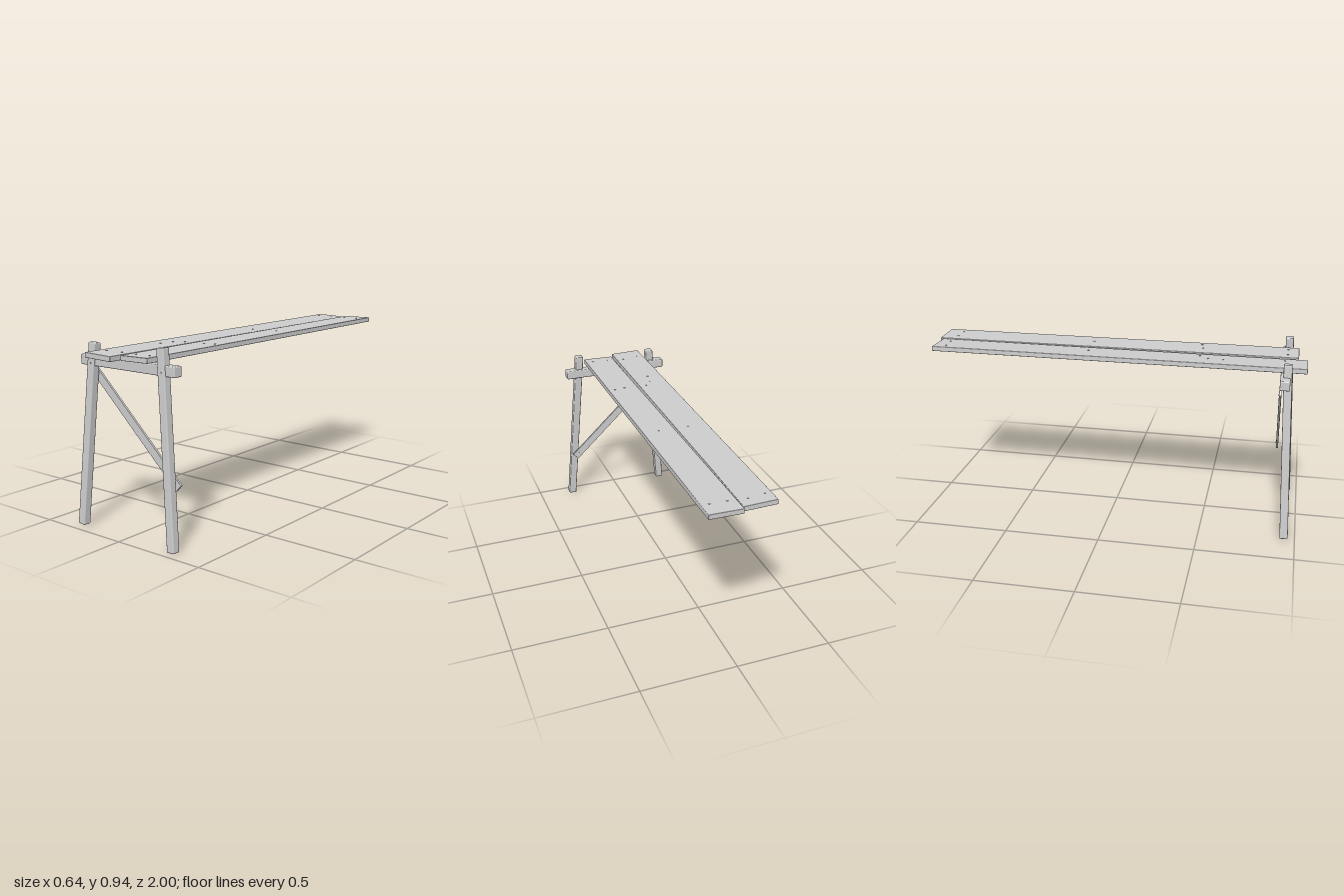
import * as THREE from 'three';
import { RoundedBoxGeometry } from 'three/addons/geometries/RoundedBoxGeometry.js';

const wood = new THREE.MeshStandardMaterial({ color: 0xcccccc });
wood.name = 'pale grey wood';

// Timber running from a to b: w across, t thick along the "up" side, softened edges.
function timber(name, a, b, w, t, up, radius, roll = 0) {
  const start = new THREE.Vector3(...a), end = new THREE.Vector3(...b);
  const group = new THREE.Group();
  group.name = name;
  group.position.copy(start).add(end).multiplyScalar(0.5);
  group.up.set(...up);
  group.lookAt(end);
  group.rotateZ(roll);
  const mesh = new THREE.Mesh(new RoundedBoxGeometry(w, t, start.distanceTo(end), 2, radius), wood);
  mesh.name = name + 'Beam';
  group.add(mesh);
  return group;
}

// Small nail heads on the +t or -t face; spots are [across, along] from the middle.
function addNails(group, t, spots, side = 1) {
  for (const [x, z] of spots) {
    const nail = new THREE.Mesh(new THREE.CylinderGeometry(0.005, 0.005, 0.005, 8), wood);
    nail.name = 'nailHead';
    nail.position.set(x, side * t / 2, z);
    group.add(nail);
  }
  return group;
}

export function createModel() {
  const model = new THREE.Group();
  model.name = 'plankTrestle';
  const Y = [0, 1, 0], Z = [0, 0, 1];

  // Two long planks lying side by side, each slightly twisted
  const rightPlank = timber('rightPlank', [-0.087, 0.878, -0.98], [-0.101, 0.880, 1], 0.168, 0.026, Y, 0.003, -0.025);
  addNails(rightPlank, 0.026, [[-0.043, 0.89], [0.045, 0.875], [-0.05, -0.92], [0.038, -0.93],
    [0.045, 0.44], [0.005, 0.485], [-0.005, 0.565], [0.02, -0.15]]);
  const leftPlank = timber('leftPlank', [0.089, 0.880, -1], [0.089, 0.882, 0.955], 0.171, 0.026, Y, 0.003, 0.02);
  addNails(leftPlank, 0.026, [[-0.04, 0.92], [0.046, 0.92], [-0.04, -0.89], [0.046, -0.89],
    [-0.01, 0.475], [0.05, 0.465], [0, -0.12]]);

  // Splayed legs leaning back towards the planks
  const rightLeg = timber('rightLeg', [-0.300, 0.012, 0.944], [-0.221, 0.927, 0.902], 0.044, 0.042, Z, 0.006);
  const leftLeg = timber('leftLeg', [0.299, 0.004, 0.944], [0.219, 0.942, 0.901], 0.044, 0.042, Z, 0.006);
  for (const leg of [rightLeg, leftLeg]) addNails(leg, 0.042, [[0, 0.36]]);

  // Crossbar carrying the planks
  const crossbar = timber('crossbar', [-0.305, 0.84, 0.894], [0.305, 0.84, 0.894], 0.05, 0.05, Y, 0.006);

  // Thin diagonal brace behind the legs
  const brace = timber('diagonalBrace', [-0.262, 0.796, 0.874], [0.281, 0.290, 0.874], 0.045, 0.012, Z, 0.002);
  addNails(brace, 0.012, [[0, -0.335], [0, 0.335]], -1);

  model.add(rightPlank, leftPlank, rightLeg, leftLeg, crossbar, brace);
  return model;
}
